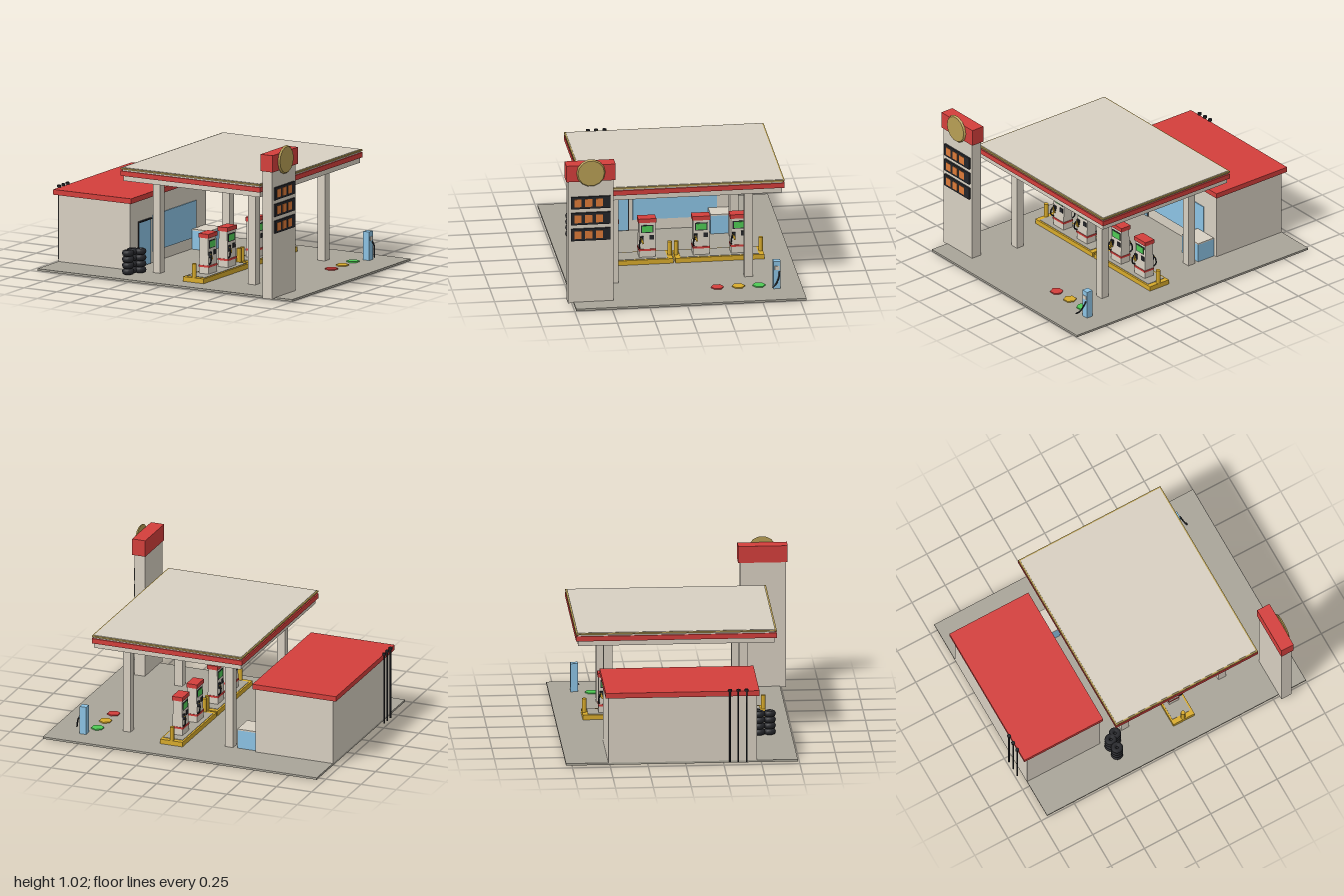
import * as THREE from 'three';

const mat = (name, color) => {
  const m = new THREE.MeshStandardMaterial({ color });
  m.name = name;
  return m;
};

export function createModel() {
  const cream = mat('cream', 0xd8d0c2), concrete = mat('concrete', 0xa9a599);
  const red = mat('red', 0xd43f3c), brass = mat('brass', 0xb89f55);
  const yellow = mat('yellow', 0xd8ab2c), blue = mat('blue', 0x8cc3e4);
  const dark = mat('dark', 0x25262a), green = mat('green', 0x4fcb55);
  const orange = mat('orange', 0xdd7a38);

  const model = new THREE.Group();
  model.name = 'fuelStation';

  const group = (name, x = 0, y = 0, z = 0) => {
    const g = new THREE.Group();
    g.name = name;
    g.position.set(x, y, z);
    model.add(g);
    return g;
  };
  const add = (parent, name, geo, m) => {
    const mesh = new THREE.Mesh(geo, m);
    mesh.name = name;
    parent.add(mesh);
    return mesh;
  };
  // Box given by its limits on each axis
  const box = (parent, name, m, x0, x1, y0, y1, z0, z1) => {
    const b = add(parent, name, new THREE.BoxGeometry(x1 - x0, y1 - y0, z1 - z0), m);
    b.position.set((x0 + x1) / 2, (y0 + y1) / 2, (z0 + z1) / 2);
    return b;
  };
  // Upright cylinder standing on y
  const post = (parent, name, m, r, h, x, y, z, sides = 12) => {
    const c = add(parent, name, new THREE.CylinderGeometry(r, r, h, sides), m);
    c.position.set(x, y + h / 2, z);
    return c;
  };
  const tube = (parent, name, m, r, points) => add(parent, name, new THREE.TubeGeometry(
    new THREE.CatmullRomCurve3(points.map((p) => new THREE.Vector3(...p))), 12, r, 6), m);

  // Forecourt slab
  box(model, 'ground', concrete, -0.95, 1, 0.002, 0.016, -0.79, 0.74);

  // Shop with window wall facing the pumps
  const shop = group('shop');
  box(shop, 'shopWalls', cream, -0.95, -0.4, 0.016, 0.465, -0.51, 0.47);
  box(shop, 'shopRoof', red, -0.98, -0.385, 0.465, 0.5, -0.53, 0.485);
  box(shop, 'shopWindow', blue, -0.4, -0.394, 0.09, 0.335, -0.38, 0.18);
  box(shop, 'doorFrame', dark, -0.4, -0.396, 0.016, 0.322, 0.205, 0.37);
  box(shop, 'shopDoor', blue, -0.398, -0.392, 0.02, 0.314, 0.212, 0.363);
  box(shop, 'doorHood', dark, -0.4, -0.385, 0.316, 0.324, 0.205, 0.37);

  // Vent pipes behind the shop
  for (const z of [0.29, 0.345, 0.4]) {
    post(shop, 'ventPipe', dark, 0.006, 0.49, -0.986, 0.016, z, 8);
    post(shop, 'ventCap', dark, 0.013, 0.014, -0.986, 0.5, z, 8);
  }

  // Ice chest beside the shop window
  box(shop, 'iceChest', blue, -0.394, -0.262, 0.016, 0.142, -0.49, -0.32);
  box(shop, 'iceChestLid', cream, -0.394, -0.262, 0.142, 0.151, -0.49, -0.32);

  // Stacked tyres near the shop corner
  const tyres = group('tyreStacks');
  for (const [x, z] of [[-0.35, 0.525], [-0.305, 0.5], [-0.342, 0.595]]) {
    for (let i = 0; i < 4; i++) {
      const tyre = add(tyres, 'tyre', new THREE.TorusGeometry(0.024, 0.017, 8, 16), dark);
      tyre.rotation.x = Math.PI / 2;
      tyre.scale.z = 1.2;
      tyre.position.set(x, 0.037 + i * 0.041, z);
    }
  }

  // Canopy: stacked slabs on four columns
  const canopy = group('canopy');
  box(canopy, 'canopySoffit', cream, -0.36, 0.685, 0.65, 0.685, -0.67, 0.625);
  box(canopy, 'canopyFascia', red, -0.375, 0.695, 0.685, 0.718, -0.685, 0.64);
  box(canopy, 'canopyBand', cream, -0.365, 0.686, 0.718, 0.728, -0.675, 0.63);
  box(canopy, 'canopyTrim', brass, -0.375, 0.695, 0.728, 0.738, -0.685, 0.64);
  box(canopy, 'canopyTop', cream, -0.365, 0.685, 0.736, 0.741, -0.675, 0.63);
  for (const x of [-0.205, 0.525]) {
    for (const z of [-0.465, 0.43]) {
      box(canopy, 'column', cream, x - 0.028, x + 0.028, 0.016, 0.652, z - 0.029, z + 0.029);
    }
  }
  for (const x of [0.47, 0.13]) {
    for (const z of [0.38, 0.13, -0.14, -0.41]) {
      box(canopy, 'lampFrame', concrete, x - 0.05, x + 0.05, 0.645, 0.65, z - 0.04, z + 0.04);
      box(canopy, 'lamp', cream, x - 0.038, x + 0.038, 0.642, 0.647, z - 0.028, z + 0.028);
    }
  }

  // Two pump islands with kerbs and bollards
  for (const [z0, z1] of [[-0.005, 0.6], [-0.61, -0.02]]) {
    const island = group('pumpIsland');
    box(island, 'kerb', yellow, 0.08, 0.24, 0.016, 0.048, z0, z1);
    box(island, 'islandTop', concrete, 0.092, 0.228, 0.046, 0.051, z0 + 0.035, z1 - 0.035);
    box(island, 'footing', yellow, 0.08, 0.24, 0, 0.016, z0, z0 + 0.11);
    for (const z of [z0 + 0.014, z1 - 0.014]) {
      post(island, 'bollard', yellow, 0.015, 0.095, 0.16, 0.046, z);
    }
  }

  // Fuel pumps with a display and hose on both faces
  for (const z of [0.41, 0.162, -0.197, -0.448]) {
    const pump = group('fuelPump', 0.16, 0.05, z);
    box(pump, 'pumpBase', cream, -0.037, 0.037, 0, 0.045, -0.054, 0.054);
    box(pump, 'pumpBand', red, -0.04, 0.04, 0.045, 0.058, -0.057, 0.057);
    const body = box(pump, 'pumpBody', cream, -0.036, 0.036, 0.058, 0.242, -0.054, 0.054);
    const p = body.geometry.attributes.position;
    for (let i = 0; i < p.count; i++) if (p.getY(i) > 0) p.setX(i, p.getX(i) * 0.86);
    body.geometry.computeVertexNormals();
    box(pump, 'pumpCap', red, -0.038, 0.038, 0.242, 0.27, -0.06, 0.06);
    for (const s of [1, -1]) {
      const face = new THREE.Group();
      face.name = 'pumpFace';
      face.rotation.y = s > 0 ? 0 : Math.PI;
      pump.add(face);
      box(face, 'displayFrame', dark, 0.028, 0.0345, 0.17, 0.224, -0.042, 0.042);
      box(face, 'display', green, 0.03, 0.0365, 0.176, 0.218, -0.035, 0.035);
      box(face, 'keypad', dark, 0.03, 0.037, 0.122, 0.154, -0.045, -0.014);
      box(face, 'nozzleHolder', dark, 0.03, 0.046, 0.11, 0.148, 0.026, 0.048);
      const nozzle = box(face, 'nozzle', yellow, 0.044, 0.052, 0.098, 0.14, 0.03, 0.042);
      nozzle.rotation.x = 0.4;
      tube(face, 'hose', dark, 0.005,
        [[0.046, 0.14, 0.04], [0.056, 0.115, 0.052], [0.054, 0.08, 0.056], [0.036, 0.065, 0.05]]);
    }
  }

  // Price sign tower
  const sign = group('priceSign');
  box(sign, 'signPillar', cream, 0.795, 0.87, 0.01, 0.87, 0.477, 0.778);
  box(sign, 'signHead', red, 0.787, 0.88, 0.867, 0.98, 0.463, 0.79);
  const disc = add(sign, 'signDisc', new THREE.CylinderGeometry(0.088, 0.096, 0.012, 14), brass);
  disc.rotation.z = -Math.PI / 2;
  disc.position.set(0.886, 0.926, 0.627);
  for (const y of [0.716, 0.604, 0.492]) {
    box(sign, 'pricePanel', dark, 0.868, 0.882, y - 0.042, y + 0.042, 0.497, 0.758);
    for (const z of [0.713, 0.642, 0.571]) {
      box(sign, 'priceDigit', orange, 0.88, 0.885, y - 0.027, y + 0.027, z - 0.024, z + 0.024);
    }
  }

  // Air machine with a hose
  const air = group('airMachine');
  box(air, 'airCabinet', blue, 0.752, 0.798, 0.016, 0.208, -0.645, -0.597);
  box(air, 'airPanel', cream, 0.796, 0.801, 0.148, 0.175, -0.637, -0.605);
  tube(air, 'airHose', dark, 0.005,
    [[0.798, 0.14, -0.637], [0.815, 0.11, -0.632], [0.828, 0.065, -0.612], [0.842, 0.04, -0.585]]);

  // Coloured filler covers on the ground
  for (const [m, z] of [[green, -0.51], [yellow, -0.373], [red, -0.233]]) {
    post(model, 'fillerCover', m, 0.043, 0.009, 0.725, 0.015, z, 6);
  }
  return model;
}
